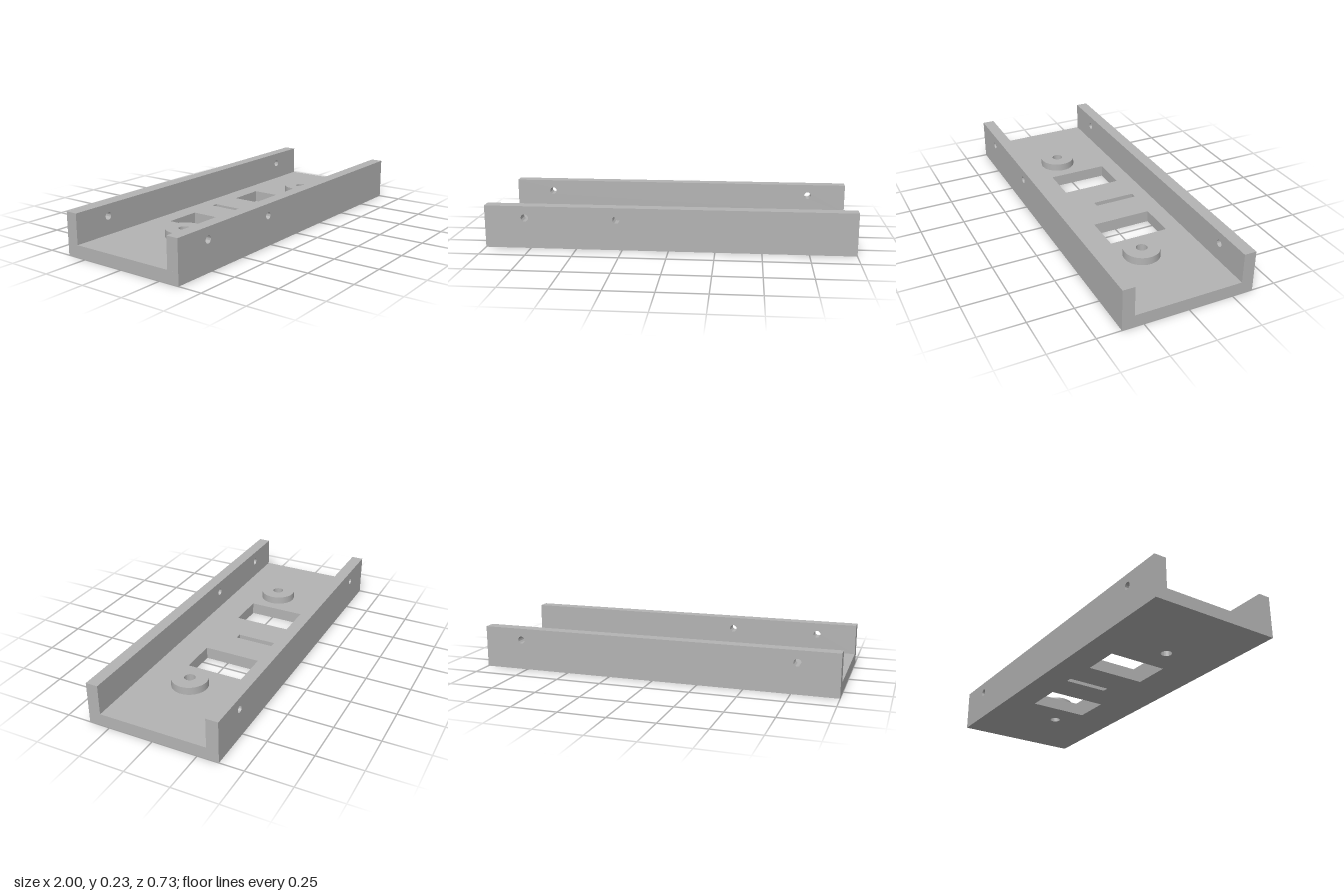
import * as THREE from 'three';
import { toCreasedNormals } from 'three/addons/utils/BufferGeometryUtils.js';

const HALF_DEPTH = 0.367, WALL = 0.067, FLOOR = 0.067, HEIGHT = 0.233, BOSS_TOP = 0.11;

// Closed rectangle between two corners
function rect(PathType, x0, y0, x1, y1) {
  return new PathType().moveTo(x0, y0).lineTo(x1, y0).lineTo(x1, y1).lineTo(x0, y1).closePath();
}

function circle(PathType, x, y, r) {
  return new PathType().absarc(x, y, r, 0, Math.PI * 2, false);
}

function extrude(shape, depth) {
  return new THREE.ExtrudeGeometry(shape, { depth, bevelEnabled: false, curveSegments: 32 });
}

export function createModel() {
  const group = new THREE.Group();
  const grey = new THREE.MeshStandardMaterial({ color: 0xb3b3b3 });
  grey.name = 'matte grey';

  function add(name, geometry) {
    const mesh = new THREE.Mesh(toCreasedNormals(geometry, 0.6), grey);
    mesh.name = name;
    group.add(mesh);
  }

  const bossX = 0.565, bossZ = 0.033, boreRadius = 0.03;

  // Floor plate with two windows, a centre slot and two bores (shape y is -z)
  const floor = rect(THREE.Shape, -1, -HALF_DEPTH, 1, HALF_DEPTH);
  floor.holes.push(rect(THREE.Path, -0.018, -0.033, 0.018, 0.215));
  for (const side of [-1, 1]) {
    const inner = side * 0.197, outer = side * 0.407;
    floor.holes.push(rect(THREE.Path, Math.min(inner, outer), -0.133, Math.max(inner, outer), 0.203));
    floor.holes.push(circle(THREE.Path, side * bossX, -bossZ, boreRadius));
  }
  add('floorPlate', extrude(floor, FLOOR).rotateX(-Math.PI / 2));

  // Raised ring bosses around the bores
  for (const side of [-1, 1]) {
    const ring = circle(THREE.Shape, side * bossX, -bossZ, 0.1);
    ring.holes.push(circle(THREE.Path, side * bossX, -bossZ, boreRadius));
    add(side < 0 ? 'rightBoss' : 'leftBoss',
      extrude(ring, BOSS_TOP - FLOOR).rotateX(-Math.PI / 2).translate(0, FLOOR, 0));
  }

  // Long side walls with their screw holes
  function addWall(name, z, holeXs) {
    const wall = rect(THREE.Shape, -1, FLOOR, 1, HEIGHT);
    for (const x of holeXs) wall.holes.push(circle(THREE.Path, x, 0.168, 0.02));
    add(name, extrude(wall, WALL).translate(0, 0, z));
  }
  addWall('frontWall', HALF_DEPTH - WALL, [-0.78, -0.28]);
  addWall('backWall', -HALF_DEPTH, [-0.78, 0.78]);

  return group;
}
